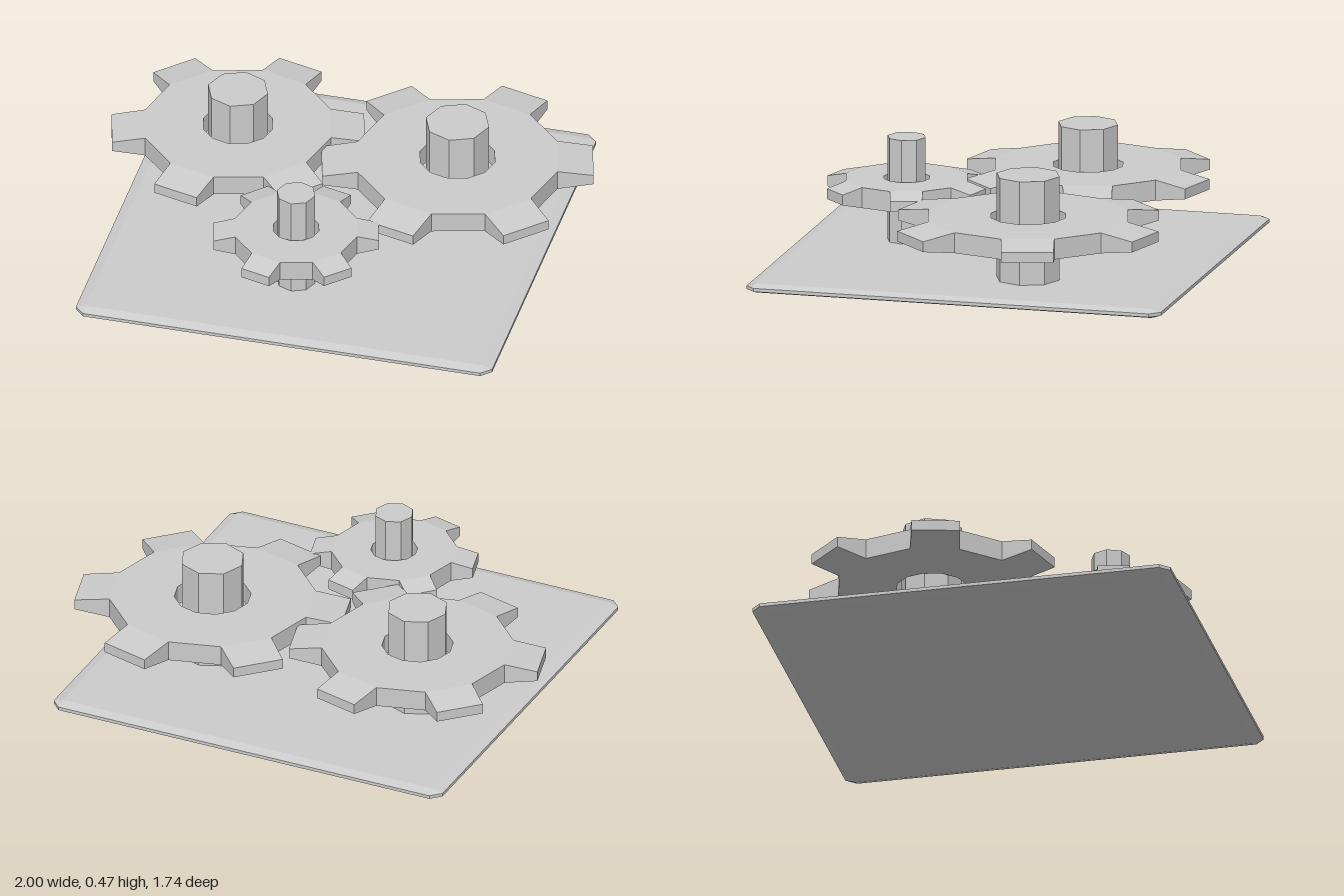
import * as THREE from 'three';
import { ConvexGeometry } from 'three/addons/geometries/ConvexGeometry.js';

const GEAR_Y = 0.256;     // mid height of all gears
const HALF = 0.0425;      // half thickness of a gear body
const TIP_HALF = 0.0215;  // half thickness at the tooth tips
const SHAFT_BOTTOM = 0.03, SHAFT_TOP = 0.469;

const material = new THREE.MeshStandardMaterial({ color: 0xcccccc, flatShading: true });

function addMesh(parent, name, geometry) {
  const mesh = new THREE.Mesh(geometry, material);
  mesh.name = name;
  parent.add(mesh);
  return mesh;
}

// Point at a radius, angle in degrees (counter-clockwise from above) and height
function polar(r, deg, y) {
  const a = THREE.MathUtils.degToRad(deg);
  return [r * Math.cos(a), y, -r * Math.sin(a)];
}

// Six-tooth gear: twelve-sided ring with a round hole and teeth thinning to the tip
function gearGeometry(tip) {
  const root = tip * 0.748, hole = tip * 0.279;
  const positions = [];
  const quad = (a, b, c, d) => positions.push(...a, ...b, ...c, ...a, ...c, ...d);

  for (let k = 0; k < 12; k++) {
    const a0 = k * 30, a1 = a0 + 30;
    const hb0 = polar(hole, a0, -HALF), hb1 = polar(hole, a1, -HALF);
    const ht0 = polar(hole, a0, HALF), ht1 = polar(hole, a1, HALF);
    const rb0 = polar(root, a0, -HALF), rb1 = polar(root, a1, -HALF);
    const rt0 = polar(root, a0, HALF), rt1 = polar(root, a1, HALF);

    quad(ht0, rt0, rt1, ht1); // top face
    quad(hb1, rb1, rb0, hb0); // bottom face
    quad(ht0, ht1, hb1, hb0); // hole wall

    if (k % 2) {
      quad(rb0, rb1, rt1, rt0); // gap between teeth
      continue;
    }
    const t0 = a0 + 4.1, t1 = a1 - 4.1;
    const tb0 = polar(tip, t0, -TIP_HALF), tb1 = polar(tip, t1, -TIP_HALF);
    const tt0 = polar(tip, t0, TIP_HALF), tt1 = polar(tip, t1, TIP_HALF);
    quad(rt0, tt0, tt1, rt1); // tooth top
    quad(rb1, tb1, tb0, rb0); // tooth bottom
    quad(tb0, tb1, tt1, tt0); // tooth tip
    quad(rb0, tb0, tt0, rt0); // tooth flanks
    quad(rt1, tt1, tb1, rb1);
  }
  const geometry = new THREE.BufferGeometry();
  geometry.setAttribute('position', new THREE.Float32BufferAttribute(positions, 3));
  geometry.computeVertexNormals();
  return geometry;
}

// Box with every edge chamfered
function chamferedBox(w, h, d, cut, cutY) {
  const points = [];
  for (const x of [-1, 1]) for (const y of [-1, 1]) for (const z of [-1, 1]) {
    const X = w / 2, Y = h / 2, Z = d / 2;
    points.push(
      new THREE.Vector3(x * X, y * (Y - cutY), z * (Z - cut)),
      new THREE.Vector3(x * (X - cut), y * Y, z * (Z - cut)),
      new THREE.Vector3(x * (X - cut), y * (Y - cutY), z * Z)
    );
  }
  return new ConvexGeometry(points);
}

export function createModel() {
  const model = new THREE.Group();
  model.name = 'gearTrain';

  // Base plate
  const plate = addMesh(model, 'basePlate', chamferedBox(1.743, 0.038, 1.74, 0.04, 0.012));
  plate.position.set(-0.018, 0.019, -0.002);

  // Gears, each with an octagonal shaft
  const gears = [
    { name: 'rightGear', x: -0.483, z: -0.211, tip: 0.521, shaft: 0.125 },
    { name: 'leftGear', x: 0.436, z: -0.211, tip: 0.56, shaft: 0.132 },
    { name: 'smallGear', x: -0.07, z: 0.438, tip: 0.341, shaft: 0.08 },
  ];
  for (const { name, x, z, tip, shaft } of gears) {
    const group = new THREE.Group();
    group.name = name;
    group.position.set(x, 0, z);
    model.add(group);

    addMesh(group, 'toothedWheel', gearGeometry(tip)).position.y = GEAR_Y;
    const height = SHAFT_TOP - SHAFT_BOTTOM;
    addMesh(group, 'shaft', new THREE.CylinderGeometry(shaft, shaft, height, 8))
      .position.y = (SHAFT_TOP + SHAFT_BOTTOM) / 2;
  }
  return model;
}
